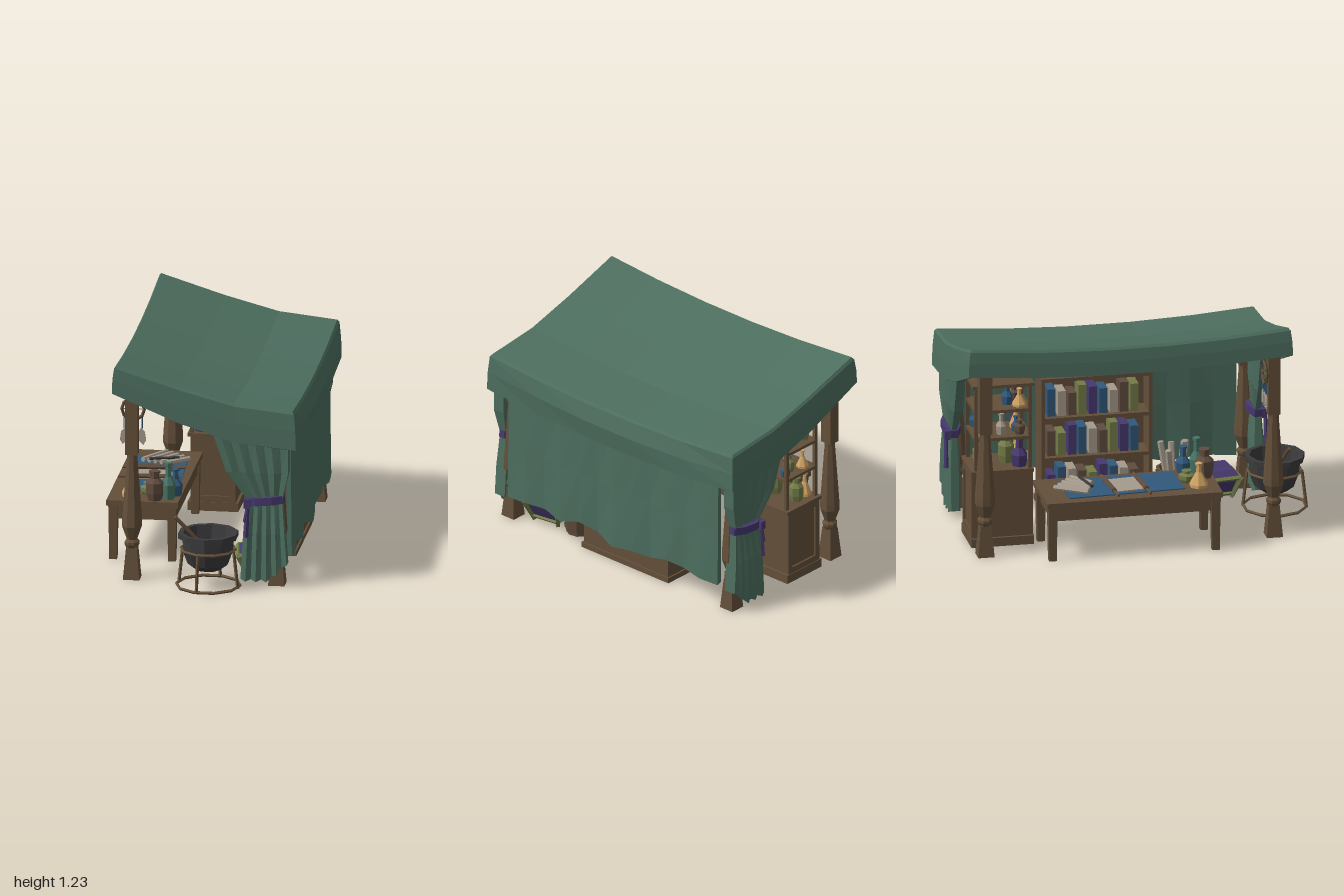
import * as THREE from 'three';

const mat = (name, color) =>
  Object.assign(new THREE.MeshStandardMaterial({ color, flatShading: true, side: THREE.DoubleSide }), { name });

export function createModel() {
  const M = {
    cloth: mat('green cloth', 0x4d6e5f), wood: mat('brown wood', 0x64503a),
    iron: mat('dark iron', 0x3b3b3d), purple: mat('purple', 0x46386e),
    amber: mat('amber glass', 0xcfa263), blue: mat('blue', 0x31587a),
    olive: mat('olive green', 0x737c48), paper: mat('pale paper', 0xa59a8c),
    brown: mat('brown glass', 0x5f4c3e), teal: mat('teal glass', 0x477566),
  };
  const root = new THREE.Group();
  const add = (name, geo, m, p = [0, 0, 0], r = [0, 0, 0], parent = root) => {
    const mesh = new THREE.Mesh(geo, M[m]);
    mesh.name = name;
    mesh.position.set(...p);
    mesh.rotation.set(...r);
    parent.add(mesh);
    return mesh;
  };
  // box given by its minimum and maximum corners
  const box = (name, m, a, b, parent = root) => add(name, new THREE.BoxGeometry(...b.map((v, i) => v - a[i])), m,
    a.map((v, i) => (v + b[i]) / 2), [0, 0, 0], parent);
  const lathe = (pts, n) => new THREE.LatheGeometry(pts.map(p => new THREE.Vector2(...p)), n);
  // round bar between two points
  const rod = (name, m, a, b, r0, r1 = r0, n = 6, parent = root) => {
    const A = new THREE.Vector3(...a), B = new THREE.Vector3(...b), d = B.clone().sub(A);
    const o = add(name, new THREE.CylinderGeometry(r1, r0, d.length(), n), m,
      A.add(B).multiplyScalar(0.5).toArray(), [0, 0, 0], parent);
    o.quaternion.setFromUnitVectors(new THREE.Vector3(0, 1, 0), d.normalize());
  };
  // surface through rows of points
  const loft = rows => {
    const w = rows[0].length, idx = [], g = new THREE.BufferGeometry();
    for (let i = 0; i < rows.length - 1; i++) for (let j = 0; j < w - 1; j++) {
      const a = i * w + j;
      idx.push(a, a + w, a + 1, a + 1, a + w, a + w + 1);
    }
    g.setAttribute('position', new THREE.Float32BufferAttribute(rows.flat(2), 3));
    g.setIndex(idx);
    g.computeVertexNormals();
    return g;
  };
  const lerp = THREE.MathUtils.lerp;

  // Sagging canopy with a valance on all four sides
  const xs = [-0.45, -0.1, 0.2, 0.522], tops = [1.23, 1.12, 1.04, 1.005], drops = [0.155, 0.2, 0.215, 0.215];
  const zs = [-0.978, -0.6, -0.25, 0.1, 0.45, 0.788];
  const slack = z => 1 - ((z + 0.095) / 0.883) ** 2;
  const topY = (i, z) => tops[i] - 0.042 * slack(z);
  add('canopyTop', loft(zs.map(z => xs.map((x, i) => [x, topY(i, z), z]))), 'cloth');
  const rim = [0, 1, 2, 3].map(i => [i, 0]);
  for (let k = 1; k < 6; k++) rim.push([3, k]);
  for (let i = 2; i >= 0; i--) rim.push([i, 5]);
  for (let k = 4; k >= 0; k--) rim.push([0, k]);
  const ring = (out, f, off, bulge = 0) => rim.map(([i, k]) => [
    xs[i] + (i === 0 ? -out : i === 3 ? out + bulge * slack(zs[k]) : 0), topY(i, zs[k]) - off - drops[i] * f,
    zs[k] + (k === 0 ? -out : k === 5 ? out : 0)]);
  add('canopyValance', loft([ring(0, 0, 0), ring(0.011, 0, 0.014), ring(0.019, 0.5, 0, 0.016),
    ring(0.022, 1, 0), ring(0.004, 1, 0.006), ring(-0.01, 0.1, 0.01)]), 'cloth');

  // Back drape along the right side, with uneven pleats and folded ends
  const hem = [0.15, 0.16, 0.165, 0.14, 0.175, 0.15, 0.12, 0.135, 0.13, 0.175, 0.165, 0.15, 0.15];
  const pleat = [0.4, 0.8, -0.2, 0.9, 0.1, -0.9, 1, 0.4, -0.8, 0.7, 0, 0.8, 0.4];
  add('sideDrape', loft([0.86, 0.48, 0.16].map((y, r) => [[0.477, y, 0.688],
    ...hem.map((h, i) => [0.499 + pleat[i] * 0.009 * r, r === 2 ? h : y, lerp(0.69, -0.855, i / 12)]),
    [0.477, y, -0.853]])), 'cloth');

  // Gathered curtains, closed folds front and back, with purple ties
  const sections = [[0.9, 0.07, 0.5, 1], [0.65, 0.155, 0.5, 1], [0.5, 0.265, 0.465, 0.6], [0.3, 0.25, 0.48, 1], [0.04, 0.235, 0.492, 1]];
  for (const [z, s] of [[0.763, 1], [-0.932, -1]]) {
    const N = 9;
    add('curtain', loft(sections.map(([y, a, b, depth], r) => {
      const point = (i, face) => {
        const t = i / N;
        const yy = r === 0 ? y - t * 0.07 : r === 4 ? y - (i % 2) * 0.012 + 0.25 * Math.max(0, t - 0.6) : y;
        return [lerp(a, b, t), yy, z + s * face * depth * (i % 2 ? 0.036 : 0.022)];
      };
      const steps = Array.from({ length: N + 1 }, (_, i) => i);
      return [...steps.map(i => point(i, 1)), ...steps.map(i => point(N - i, -1)), point(0, 1)];
    })), 'cloth');
    const tie = add('curtainTie', new THREE.CylinderGeometry(1, 1, 0.044, 8).rotateY(Math.PI / 8), 'purple', [0.365, 0.49, z], [0, 0, 0.09]);
    tie.scale.set(0.119, 1, 0.05);
    box('tieKnot', 'purple', [0.257, 0.45, z + s * 0.038 - 0.015], [0.292, 0.5, z + s * 0.038 + 0.015]);
    rod('tieTail', 'purple', [0.28, 0.46, z + s * 0.044], [0.268, 0.285, z + s * 0.044], 0.009, 0.014, 4);
    rod('tieTail', 'purple', [0.28, 0.46, z + s * 0.044], [0.26, 0.37, z + s * 0.044], 0.012, 0.009, 4);
  }

  // Four turned corner posts
  for (const x of [-0.372, 0.43]) for (const z of [0.72, -0.89]) {
    const post = new THREE.Group();
    post.name = 'cornerPost';
    post.position.set(x, 0, z);
    root.add(post);
    add('postFoot', new THREE.CylinderGeometry(0.042, 0.064, 0.18, 4), 'wood', [0, 0.09, 0], [0, Math.PI / 4, 0], post);
    add('postShaft', lathe([[0.03, 0.17], [0.042, 0.195], [0.042, 0.21], [0.03, 0.225], [0.057, 0.3], [0.056, 0.34],
      [0.03, 0.69], [0.03, 0.71]], 8), 'wood', [0, 0, 0], [0, Math.PI / 8, 0], post);
    box('postHead', 'wood', [-0.034, 0.71, -0.034], [0.034, x < 0 ? 1.14 : 0.93, 0.034], post);
  }

  // Work table
  box('tableTop', 'wood', [-0.56, 0.31, -0.58], [-0.165, 0.34, 0.4]);
  for (const z of [-0.55, 0.35]) box('tableApron', 'wood', [-0.53, 0.23, z], [-0.195, 0.31, z + 0.02]);
  for (const x of [-0.54, -0.205]) box('tableApron', 'wood', [x, 0.23, -0.54], [x + 0.02, 0.31, 0.36]);
  for (const x of [-0.525, -0.2]) for (const z of [-0.545, 0.365])
    add('tableLeg', new THREE.CylinderGeometry(0.036, 0.029, 0.31, 4), 'wood', [x, 0.155, z], [0, Math.PI / 4, 0]);
  add('tableCloth', new THREE.BoxGeometry(0.28, 0.006, 0.65), 'blue', [-0.348, 0.343, -0.125], [0, 0.046, 0]);

  // Scrolls and tools on the table
  add('openScroll', new THREE.BoxGeometry(0.2, 0.006, 0.17), 'paper', [-0.36, 0.35, -0.09], [0, 0.1, 0]);
  for (const z of [-0.18, 0]) {
    rod('scrollRod', 'wood', [-0.55, 0.358, z], [-0.21, 0.358, z - 0.03], 0.008);
    rod('scrollRoll', 'brown', [-0.47, 0.36, z - 0.007], [-0.27, 0.36, z - 0.025], 0.015);
  }
  for (let i = 0; i < 5; i++)
    rod('paperRoll', 'paper', [-0.46 + i * 0.035, 0.358, -0.33 + i * 0.012], [-0.35 + i * 0.035, 0.358, -0.5 + i * 0.03], 0.015);
  rod('toolHandle', 'iron', [-0.42, 0.375, -0.3], [-0.26, 0.375, -0.34], 0.009);

  // Bottles on the table, cabinet and shelves: flask (0), jug (1), tall bottle (2)
  const shapes = [
    [[0, 0], [1, 0], [1, 0.12], [0.3, 0.62], [0.26, 0.9], [0.4, 0.92], [0.4, 1], [0, 1]],
    [[0, 0], [0.8, 0], [1, 0.25], [1, 0.6], [0.5, 0.75], [0.5, 0.9], [0.65, 0.92], [0.65, 1], [0, 1]],
    [[0, 0], [0.85, 0], [1, 0.4], [0.42, 0.62], [0.38, 0.9], [0.55, 0.92], [0.55, 1], [0, 1]],
  ];
  const bottles = [
    [0, 'amber', -0.44, 0.34, 0.29, 0.135, 0.052], [1, 'brown', -0.3, 0.34, 0.35, 0.165, 0.05],
    [2, 'teal', -0.228, 0.34, 0.32, 0.205, 0.04], [2, 'blue', -0.2, 0.34, 0.25, 0.15, 0.042],
    [1, 'olive', -0.35, 0.34, 0.24, 0.065, 0.045], [2, 'purple', -0.18, 0.44, -0.66, 0.165, 0.048],
    [1, 'olive', -0.11, 0.44, -0.72, 0.165, 0.045], [0, 'amber', -0.045, 0.44, -0.65, 0.135, 0.05],
    [1, 'olive', -0.12, 0.44, -0.87, 0.14, 0.04], [0, 'amber', -0.2, 0.44, -0.86, 0.13, 0.04],
    [1, 'brown', -0.19, 0.627, -0.66, 0.08, 0.03], [2, 'blue', -0.14, 0.627, -0.67, 0.085, 0.028],
    [0, 'amber', -0.08, 0.627, -0.66, 0.13, 0.035], [2, 'purple', -0.025, 0.627, -0.66, 0.08, 0.025],
    [2, 'paper', -0.175, 0.627, -0.76, 0.12, 0.03], [1, 'olive', -0.08, 0.627, -0.85, 0.1, 0.032],
    [2, 'blue', -0.02, 0.627, -0.88, 0.1, 0.028], [0, 'amber', -0.17, 0.627, -0.87, 0.1, 0.035],
    [0, 'amber', -0.18, 0.787, -0.66, 0.1, 0.04], [2, 'blue', -0.14, 0.787, -0.72, 0.12, 0.033],
    [1, 'brown', -0.085, 0.787, -0.67, 0.08, 0.03], [0, 'amber', -0.03, 0.787, -0.66, 0.095, 0.033],
    [1, 'olive', -0.19, 0.787, -0.86, 0.09, 0.03], [2, 'blue', -0.05, 0.787, -0.86, 0.1, 0.03],
  ];
  for (const [k, m, x, y, z, h, r] of bottles)
    add('bottle', lathe(shapes[k].map(([a, b]) => [a * r, b * h]), 7), m, [x, y, z]);
  box('bottleLabel', 'amber', [-0.198, 0.475, -0.618], [-0.165, 0.515, -0.611]);

  // Cabinet with open shelves
  box('cabinetBody', 'wood', [-0.235, 0, -0.925], [0.015, 0.42, -0.605]);
  for (const [y, h] of [[0, 0.05], [0.42, 0.02]]) box('cabinetMoulding', 'wood', [-0.25, y, -0.94], [0.03, y + h, -0.59]);
  for (const z of [-0.93, -0.6]) {
    for (const x of [-0.235, -0.015]) box('cabinetStile', 'wood', [x, 0.05, z - 0.006], [x + 0.03, 0.42, z + 0.006]);
    for (const y of [0.05, 0.385]) box('cabinetRail', 'wood', [-0.235, y, z - 0.006], [0.015, y + 0.035, z + 0.006]);
  }
  for (const x of [-0.238, -0.005]) for (const z of [-0.92, -0.62])
    box('shelfPost', 'wood', [x, 0.44, z], [x + 0.02, 0.92, z + 0.02]);
  for (const [y, o] of [[0.61, 0], [0.77, 0], [0.92, 0.012]])
    box('shelf', 'wood', [-0.238 - o, y, -0.92 - o], [0.015 + o, y + 0.017, -0.6 + o]);

  // Bookcase against the drape
  box('bookcasePlinth', 'wood', [0.28, 0, -0.45], [0.46, 0.03, 0.19]);
  box('bookcaseBack', 'wood', [0.435, 0.03, -0.44], [0.45, 0.74, 0.18]);
  for (const z of [-0.44, 0.16]) box('bookcaseSide', 'wood', [0.29, 0.03, z], [0.45, 0.74, z + 0.02]);
  for (const y of [0.03, 0.27, 0.5, 0.73]) box('bookcaseShelf', 'wood', [0.29, y, -0.44], [0.45, y + 0.02, 0.18]);
  const bookColors = ['purple', 'brown', 'blue', 'olive', 'paper'];
  for (const [s, y] of [0.05, 0.29, 0.52].entries()) for (let i = 0; i < 9; i++)
    box('book', bookColors[(i * 2 + s) % 5], [0.32, y, -0.4 + i * 0.058], [0.43, y + 0.13 + ((i * 3 + s) % 4) * 0.014, -0.355 + i * 0.058]);

  // Bucket of scrolls
  add('bucket', lathe([[0, 0.01], [0.075, 0.01], [0.1, 0.17], [0.085, 0.17], [0.07, 0.05], [0, 0.05]], 9), 'wood', [0.34, 0, 0.31]);
  for (const [y, r] of [[0.045, 0.083], [0.14, 0.099]])
    add('bucketHoop', new THREE.CylinderGeometry(r + 0.003, r, 0.02, 9, 1, true), 'brown', [0.34, y, 0.31]);
  for (let i = 0; i < 5; i++) {
    const c = Math.cos(i * 1.26), s = Math.sin(i * 1.26);
    rod('storedScroll', 'paper', [0.34 + c * 0.03, 0.05, 0.31 + s * 0.03], [0.34 + c * 0.075, 0.29 + (i % 3) * 0.025, 0.31 + s * 0.075], 0.018);
  }

  // Flared purple chest with green trim
  const chest = new THREE.Group();
  chest.name = 'chest';
  chest.position.set(0.315, 0, 0.53);
  chest.rotation.y = 0.15;
  root.add(chest);
  const square = (x, z, y) => [[x, y, z], [-x, y, z], [-x, y, -z], [x, y, -z], [x, y, z]];
  const low = square(0.075, 0.085, 0.03), high = square(0.125, 0.11, 0.13);
  add('chestBody', loft([square(0, 0, 0.03), low, high, square(0.08, 0.09, 0.165), square(0, 0, 0.17)]), 'purple', [0, 0, 0], [0, 0, 0], chest);
  for (let i = 0; i < 4; i++) {
    for (const edge of [low, high]) rod('chestTrim', 'olive', edge[i], edge[i + 1], 0.014, 0.014, 4, chest);
    rod('chestCorner', 'olive', low[i].map((v, k) => k === 1 ? 0.005 : v * 0.9), high[i], 0.014, 0.018, 4, chest);
  }

  // Cauldron on its stand
  const cx = 0.062, cz = 0.815;
  add('cauldron', lathe([[0, 0.095], [0.07, 0.1], [0.115, 0.135], [0.139, 0.2], [0.143, 0.275], [0.167, 0.28], [0.167, 0.31],
    [0.14, 0.31], [0.125, 0.2], [0.09, 0.14], [0, 0.13]], 10), 'iron', [cx, 0, cz]);
  for (const [y, r] of [[0.01, 0.176], [0.214, 0.15]])
    add('standRing', new THREE.TorusGeometry(r, 0.009, 4, 10), 'wood', [cx, y, cz], [Math.PI / 2, 0, 0]);
  for (let i = 0; i < 4; i++) {
    const c = Math.cos(i * Math.PI / 2 + 0.25), s = Math.sin(i * Math.PI / 2 + 0.25);
    rod('standLeg', 'wood', [cx + c * 0.174, 0.005, cz + s * 0.174], [cx + c * 0.15, 0.215, cz + s * 0.15], 0.009, 0.009, 4);
  }
  rod('stirringStick', 'wood', [0.06, 0.2, 0.81], [-0.115, 0.4, 0.86], 0.011);

  // Hanging hoop with feathers behind the front post
  const hx = -0.374, hy = 0.95, hz = 0.67, hr = 0.062;
  add('charmHoop', new THREE.TorusGeometry(hr, 0.009, 4, 10), 'brown', [hx, hy, hz]);
  for (const k of [-1, 0, 1]) {
    const c = Math.cos(k * Math.PI / 3) * hr, s = Math.sin(k * Math.PI / 3) * hr, fx = hx + k * 0.05;
    rod('charmThread', 'olive', [hx - c, hy - s, hz], [hx + c, hy + s, hz], 0.003, 0.003, 3);
    rod('charmCord', 'blue', [fx, k ? 0.91 : 0.89, hz], [fx, 0.84, hz], 0.004, 0.004, 4);
    const f = add('feather', new THREE.CylinderGeometry(0.022, 0.022, 0.005, 6), 'paper', [fx, 0.795, hz], [Math.PI / 2, k * 0.15, 0]);
    f.scale.z = 2.2;
  }
  return root;
}
